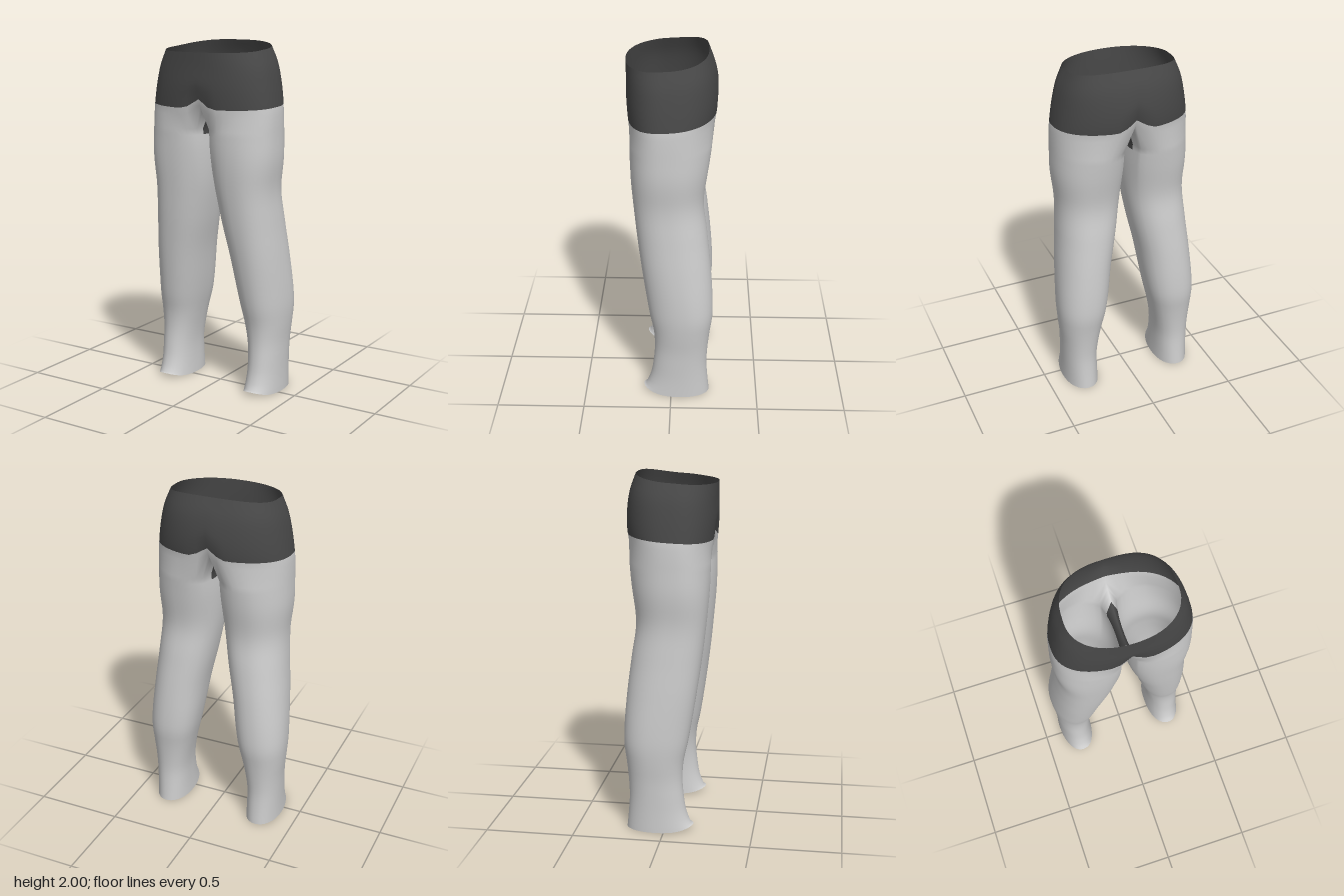
import * as THREE from 'three';
import { mergeVertices } from 'three/addons/utils/BufferGeometryUtils.js';

const OUTER = 28; // steps round the outside, from front centre to back centre
const INNER = 14; // steps along the inside of the leg, from back to front
const RING = OUTER + INNER;
const LEG_ROWS = 44;
const LEG_TOP = 1.52;
const HIP_ROWS = 12;

// Leg key sections: height, inner x, outer x, front z, back z, z of the widest point,
// inner squareness, outer front squareness
const LEG_KEYS = [
  [0.00, 0.195, 0.397, 0.160, -0.222, -0.050, 2.2, 2.1],
  [0.10, 0.200, 0.396, 0.120, -0.212, -0.060, 2.3, 2.1],
  [0.20, 0.200, 0.398, 0.103, -0.206, -0.065, 2.3, 2.1],
  [0.30, 0.188, 0.402, 0.095, -0.211, -0.075, 2.3, 2.1],
  [0.40, 0.168, 0.412, 0.101, -0.222, -0.080, 2.3, 2.1],
  [0.50, 0.145, 0.419, 0.122, -0.236, -0.085, 2.3, 2.1],
  [0.60, 0.127, 0.417, 0.139, -0.236, -0.075, 2.3, 2.1],
  [0.80, 0.096, 0.403, 0.169, -0.222, -0.040, 2.3, 2.2],
  [1.00, 0.055, 0.385, 0.195, -0.200, -0.010, 2.3, 2.3],
  [1.20, 0.026, 0.373, 0.215, -0.176, 0.015, 2.4, 2.4],
  [1.40, 0.020, 0.394, 0.233, -0.200, 0.025, 2.5, 2.4],
  [1.52, 0.032, 0.392, 0.238, -0.224, 0.030, 2.6, 2.4],
];
// Hip key sections: fraction of the way up, half width, front z, back z, z of the widest point,
// back squareness, front squareness
const HIP_KEYS = [
  [0.00, 0.388, 0.240, -0.240, 0.030, 2.25, 2.55],
  [0.18, 0.380, 0.246, -0.250, 0.032, 2.30, 2.50],
  [0.45, 0.364, 0.252, -0.250, 0.036, 2.40, 2.40],
  [0.75, 0.338, 0.252, -0.232, 0.042, 2.60, 2.30],
  [1.00, 0.300, 0.254, -0.198, 0.045, 2.80, 2.20],
];

function profile(keys) {
  const size = keys[0].length - 1;
  const curve = new THREE.CubicInterpolant(keys.map((k) => k[0]), keys.flatMap((k) => k.slice(1)), size);
  return (t) => Array.from(curve.evaluate(t));
}
const signedPow = (v, p) => Math.sign(v) * Math.abs(v) ** p;
const { lerp, smoothstep } = THREE.MathUtils;
const legAt = profile(LEG_KEYS);
const hipAt = profile(HIP_KEYS);

// A point of a hip section, t = 0 where the legs join and 1 at the waist rim
function hipPoint(t, j) {
  const [halfWidth, front, back, mid, backPower, frontPower] = hipAt(t);
  const a = Math.PI * j / OUTER;
  const power = 2 / (j < OUTER / 2 ? frontPower : backPower);
  const x = j % OUTER === 0 ? 0 : halfWidth * Math.sin(a) ** power;
  const c = signedPow(Math.cos(a), power);
  const centre = Math.exp(-((x / 0.055) ** 2));
  const frontness = (1 + Math.cos(a)) / 2;
  const join = 1.595 + 0.03 * (1 - frontness) + centre * 0.06;
  const rim = 1.945 + 0.052 * (1 - frontness) ** 2;
  const dimple = 1 - 0.1 * centre * Math.max(0, 1 - t / 0.4);
  return [x, lerp(join, rim, t), (mid + c * (c > 0 ? front - mid : mid - back)) * dimple];
}

// The row where both legs meet; its inner part is a seam dipping in the middle
function joinPoint(j) {
  if (j <= OUTER) return hipPoint(0, j);
  const s = (j - OUTER) / INNER;
  const back = hipPoint(0, OUTER);
  const front = hipPoint(0, 0);
  return [0, lerp(back[1], front[1], s) - 0.085 * Math.sin(Math.PI * s) ** 0.8, lerp(back[2], front[2], s)];
}

// A point of a leg section, easing into the hip outline up the outer thigh;
// the two inner corners sit at 135 and 225 degrees
function legPoint(y, j) {
  const [inX, outX, front, back, mid, innerPower, frontPower] = legAt(y);
  const angle = j <= OUTER
    ? Math.PI * (0.75 - 1.5 * j / OUTER)
    : Math.PI * (1.25 - 0.5 * (j - OUTER) / INNER);
  const outward = Math.cos(angle);
  const outerPower = Math.sin(angle) > 0 ? frontPower : 2.1;
  const power = 2 / (outward > 0 ? outerPower : innerPower);
  const c = signedPow(outward, power);
  const s = signedPow(Math.sin(angle), power);
  const x = (inX + outX) / 2 + c * (outX - inX) / 2;
  const z = mid + s * (s > 0 ? front - mid : mid - back);
  const hemLift = y === 0 ? 0.03 * Math.max(0, Math.sin(angle)) ** 3 : 0;
  const ease = smoothstep(y, 1.1, 1.6) * lerp(0.35, 0.85, smoothstep(outward, -0.7, 0.5));
  const [joinX, , joinZ] = joinPoint(j);
  return [lerp(x, joinX, ease), y + hemLift, lerp(z, joinZ, ease)];
}

function buildSurfaces() {
  const half = [];
  const faces = { legs: [], waistband: [], crotchSeam: [] };

  // Leg rows from hem to thigh, then the row where both legs meet
  for (let r = 0; r <= LEG_ROWS; r++) {
    for (let j = 0; j < RING; j++) half.push(legPoint(LEG_TOP * r / LEG_ROWS, j));
  }
  for (let j = 0; j < RING; j++) half.push(joinPoint(j));
  const joinRow = (LEG_ROWS + 1) * RING;
  const hipStart = half.length;
  for (let r = 1; r <= HIP_ROWS; r++) {
    const t = lerp(0.12, 1, (r - 1) / (HIP_ROWS - 1));
    for (let j = 0; j <= OUTER; j++) half.push(hipPoint(t, j));
  }

  const quad = (list, a, b, c, d) => list.push([a, b, c], [a, c, d]);
  for (let r = 0; r <= LEG_ROWS; r++) {
    for (let j = 0; j < RING; j++) {
      const k = (j + 1) % RING;
      const low = r * RING;
      const seam = r >= LEG_ROWS - 1 && j >= OUTER + 3 && j < RING - 3;
      quad(seam ? faces.crotchSeam : faces.legs, low + j, low + k, low + RING + k, low + RING + j);
    }
  }
  for (let r = 0; r < HIP_ROWS; r++) {
    const low = r === 0 ? joinRow : hipStart + (r - 1) * (OUTER + 1);
    const high = hipStart + r * (OUTER + 1);
    for (let j = 0; j < OUTER; j++) {
      quad(r === 0 ? faces.legs : faces.waistband, low + j, low + j + 1, high + j + 1, high + j);
    }
  }

  // Mirror the half and weld the centre line so shading runs across it
  const points = [...half, ...half.map(([x, y, z]) => [x === 0 ? 0 : -x, y, z])];
  const index = [];
  const ranges = {};
  for (const [name, list] of Object.entries(faces)) {
    const start = index.length;
    for (const [a, b, c] of list) {
      index.push(a, b, c, a + half.length, c + half.length, b + half.length);
    }
    ranges[name] = [start, index.length];
  }
  const raw = new THREE.BufferGeometry();
  raw.setAttribute('position', new THREE.Float32BufferAttribute(points.flat(), 3));
  raw.setIndex(index);
  const whole = mergeVertices(raw, 1e-5);
  whole.computeVertexNormals();
  return { whole, ranges };
}

export function createModel() {
  const lightGrey = new THREE.MeshStandardMaterial({ color: 0xcccccc, side: THREE.DoubleSide });
  lightGrey.name = 'lightGreyCloth';
  const darkGrey = new THREE.MeshStandardMaterial({ color: 0x484848, side: THREE.DoubleSide });
  darkGrey.name = 'darkGreyCloth';

  const group = new THREE.Group();
  group.name = 'trousers';
  const { whole, ranges } = buildSurfaces();
  const order = Array.from(whole.index.array);
  const materials = { legs: lightGrey, waistband: darkGrey, crotchSeam: darkGrey };
  for (const [name, [start, end]] of Object.entries(ranges)) {
    const part = new THREE.BufferGeometry();
    part.setAttribute('position', whole.attributes.position);
    part.setAttribute('normal', whole.attributes.normal);
    part.setIndex(order.slice(start, end));
    const mesh = new THREE.Mesh(part, materials[name]);
    mesh.name = name;
    group.add(mesh);
  }
  return group;
}
